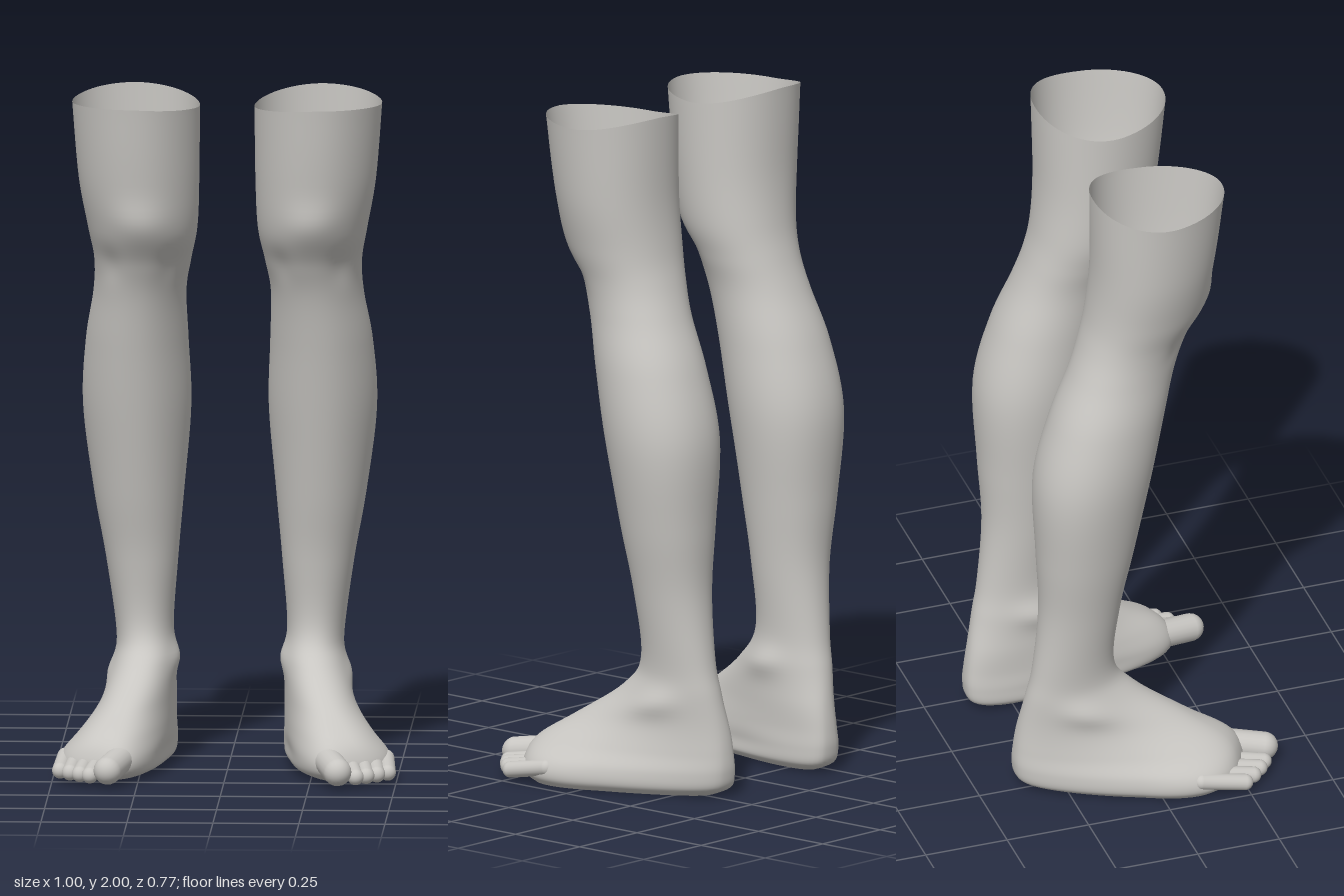
import * as THREE from 'three';

// Left leg profile, sole to thigh: y, back z, front z, centre x, half width
const PROFILE = [
  [0.006, -0.33, 0.21, 0.228, 0.105],
  [0.03, -0.376, 0.255, 0.222, 0.133],
  [0.075, -0.387, 0.26, 0.222, 0.134],
  [0.13, -0.384, 0.23, 0.222, 0.115],
  [0.2, -0.374, 0.125, 0.225, 0.099],
  [0.3, -0.355, -0.02, 0.24, 0.09],
  [0.4, -0.335, -0.09, 0.249, 0.084],
  [0.6, -0.316, -0.076, 0.256, 0.105],
  [0.8, -0.325, -0.036, 0.265, 0.131],
  [1.05, -0.333, 0.015, 0.27, 0.156],
  [1.25, -0.284, 0.055, 0.268, 0.148],
  [1.4, -0.223, 0.09, 0.258, 0.134],
  [1.5, -0.188, 0.13, 0.248, 0.14],
  [1.6, -0.165, 0.18, 0.247, 0.158],
  [1.75, -0.152, 0.21, 0.257, 0.174],
  [1.97, -0.155, 0.238, 0.265, 0.184],
];

// Surface bumps: y, angle round the leg, height, spread in y, spread in angle
const BUMPS = [
  [1.63, 0, 0.014, 0.06, 0.5],     // kneecap
  [1.5, 0.75, -0.007, 0.05, 0.3],  // hollows beside the knee
  [1.5, -0.75, -0.007, 0.05, 0.3],
  [0.31, -1.5, 0.012, 0.04, 0.4],  // ankle bones
  [0.27, 1.7, 0.014, 0.04, 0.4],
  [0.06, -1.5, -0.012, 0.04, 0.5], // instep arch
];

const AROUND = 64, STEPS = 7;
const rise = THREE.MathUtils.smoothstep;

// Smooth blend through the profile
function sectionAt(u) {
  const last = PROFILE.length - 1;
  const i = Math.min(Math.floor(u), last - 1), t = u - i;
  const row = (n) => PROFILE[Math.max(0, Math.min(last, n))];
  const [a, b, c, d] = [row(i - 1), row(i), row(i + 1), row(i + 2)];
  return b.map((p, n) => {
    const m0 = (c[n] - a[n]) / 2, m1 = (d[n] - p) / 2, q = c[n];
    return p + m0 * t + (3 * (q - p) - 2 * m0 - m1) * t * t + (2 * (p - q) + m0 + m1) * t * t * t;
  });
}

function legGeometry(side) {
  const pos = [], index = [];
  const rings = (PROFILE.length - 1) * STEPS + 1;
  for (let j = 0; j < rings; j++) {
    const [y, back, front, centreX, width] = sectionAt(j / STEPS);
    // The foot turns outward, widens forward and slants along the toes
    const splay = 0.16 * (1 - rise(y, 0.03, 0.36));
    const taper = 0.25 * (1 - rise(y, 0.05, 0.22)) - 0.13 * rise(y, 0.5, 1);
    const slant = 0.5 * (1 - rise(y, 0.06, 0.25));
    const power = 0.7 + 0.25 * rise(y, 0.05, 0.3);
    const rim = rise(y, 1.84, 1.97);
    for (let i = 0; i < AROUND; i++) {
      const t = (i / AROUND) * Math.PI * 2, c = Math.cos(t), s = Math.sin(t);
      const v = Math.sign(s) * Math.abs(s) ** power * width * (1 + taper * c);
      let x = centreX + (splay * (c + 1)) / 2 + v;
      let z = (back + front) / 2 + ((front - back) / 2) * c - slant * v * Math.max(0, c);
      for (const [by, bt, height, sy, st] of BUMPS) {
        const dt = Math.atan2(Math.sin(t - bt), Math.cos(t - bt));
        const k = height * Math.exp(-(((y - by) / sy) ** 2) - (dt / st) ** 2);
        x += s * k;
        z += c * k;
      }
      // The cut edge rises at the back and dips on the inside
      const lift = rim * ((c < 0 ? 0.03 * c * c : 0.008 * c) + 0.01 * Math.min(0, s));
      pos.push(side * x, y + lift, z);
    }
  }
  const face = (a, b, c) => (side > 0 ? index.push(a, b, c) : index.push(a, c, b));
  for (let j = 0; j < rings - 1; j++) {
    for (let i = 0; i < AROUND; i++) {
      const n = (i + 1) % AROUND, a = j * AROUND, b = a + AROUND;
      face(a + i, a + n, b + n);
      face(a + i, b + n, b + i);
    }
  }
  // Sole
  const centre = pos.length / 3;
  pos.push(side * 0.29, 0.004, -0.05);
  for (let i = 0; i < AROUND; i++) face(centre, (i + 1) % AROUND, i);

  const g = new THREE.BufferGeometry();
  g.setAttribute('position', new THREE.Float32BufferAttribute(pos, 3));
  g.setIndex(index);
  g.computeVertexNormals();
  return g;
}

// A toe runs from its knuckle down to its tip
function toe(name, side, baseX, baseZ, tipX, tipZ, r, material) {
  const base = new THREE.Vector3(side * baseX, 0.035 + r, baseZ);
  const tip = new THREE.Vector3(side * tipX, 0.012 + r, tipZ);
  const dir = tip.clone().sub(base);
  const mesh = new THREE.Mesh(new THREE.CapsuleGeometry(r, dir.length(), 8, 20), material);
  mesh.name = name;
  mesh.position.copy(base).add(tip).multiplyScalar(0.5);
  mesh.quaternion.setFromUnitVectors(new THREE.Vector3(0, 1, 0), dir.normalize());
  return mesh;
}

export function createModel() {
  const skin = new THREE.MeshStandardMaterial({ color: 0xc8c6c2, side: THREE.DoubleSide });
  skin.name = 'pale grey';
  const model = new THREE.Group();
  model.name = 'pairOfLegs';
  for (const side of [1, -1]) {
    const group = new THREE.Group();
    group.name = side > 0 ? 'leftLeg' : 'rightLeg';
    const leg = new THREE.Mesh(legGeometry(side), skin);
    leg.name = 'legAndFoot';
    group.add(leg, toe('bigToe', side, 0.288, 0.19, 0.334, 0.344, 0.041, skin));
    for (let i = 0; i < 4; i++) {
      const tipZ = 0.325 - 0.02 * i - 0.003 * i * i;
      group.add(toe(`smallToe${i + 1}`, side, 0.364 + 0.034 * i, 0.19 - 0.027 * i,
        0.386 + 0.03 * i, tipZ, 0.024, skin));
    }
    model.add(group);
  }
  return model;
}
